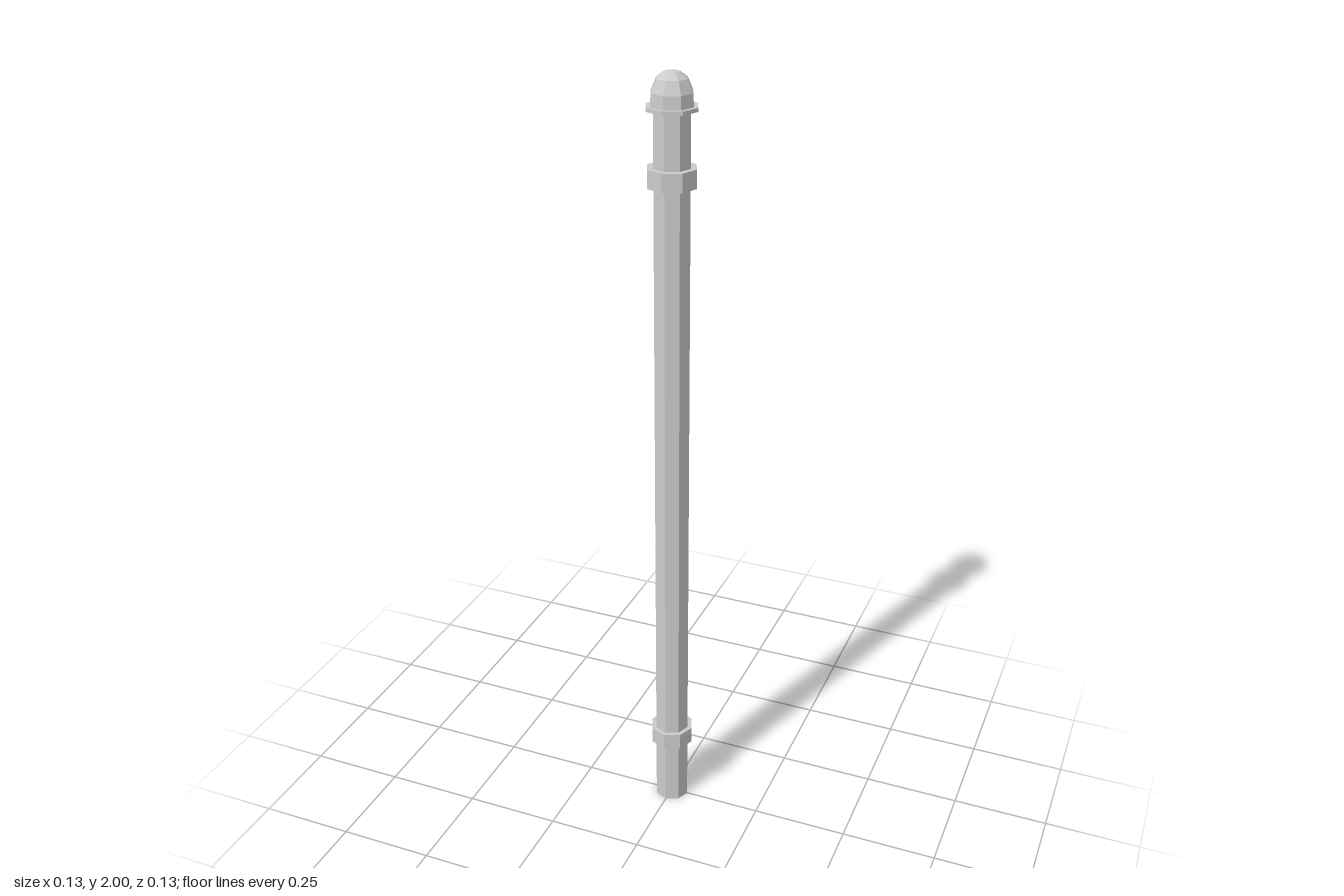
import * as THREE from 'three';

const SIDES = 8;

export function createModel() {
  const group = new THREE.Group();
  const material = new THREE.MeshStandardMaterial({ color: 0xcccccc, flatShading: true });

  const add = (name, geometry) => {
    const mesh = new THREE.Mesh(geometry, material);
    mesh.name = name;
    group.add(mesh);
  };

  // Solid octagonal section between two heights
  const addSection = (name, radius, bottom, top) => {
    const geometry = new THREE.CylinderGeometry(radius, radius, top - bottom, SIDES);
    geometry.translate(0, (bottom + top) / 2, 0);
    add(name, geometry);
  };

  // Shaft, its two collars and the thin plate under the cap
  addSection('shaft', 0.046, 0, 1.92);
  addSection('lowerCollar', 0.058, 0.183, 0.228);
  addSection('upperCollar', 0.061, 1.738, 1.783);
  addSection('capFlange', 0.063, 1.913, 1.922);

  // Faceted dome cap
  const profile = [
    [0.053, 1.92], [0.051, 1.953], [0.038, 1.983], [0.019, 1.997], [0, 2],
  ].map(([r, y]) => new THREE.Vector2(r, y));
  add('domeCap', new THREE.LatheGeometry(profile, SIDES));

  return group;
}
